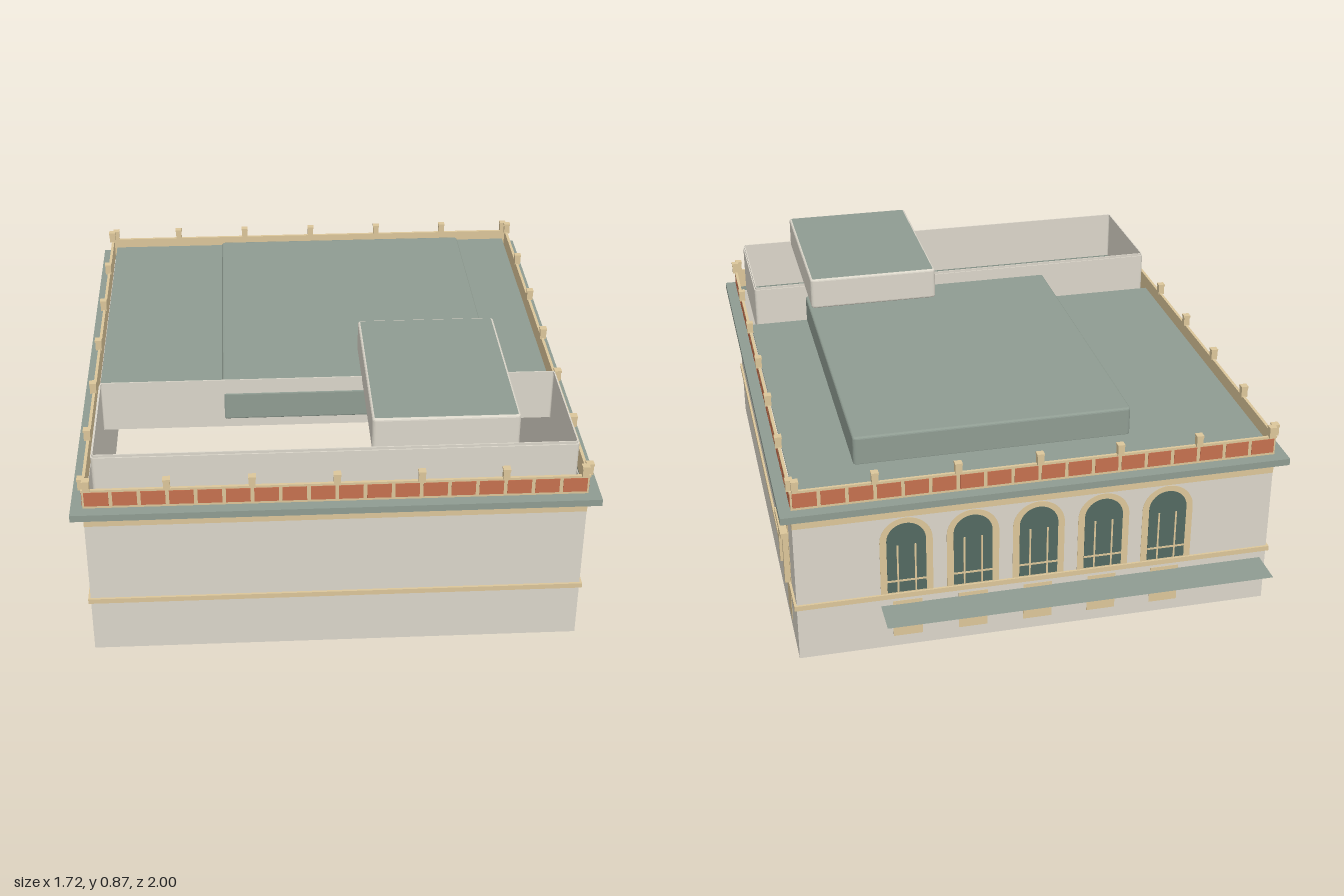
import * as THREE from 'three';

const mat = (name, color) => Object.assign(new THREE.MeshStandardMaterial({ color }), { name });

export function createModel() {
  const stone = mat('stone', 0xdbd6ca);
  const trim = mat('tan trim', 0xdcc69a);
  const brick = mat('brick', 0xc5714f);
  const roofing = mat('green roofing', 0x8f9c92);
  roofing.side = THREE.DoubleSide;
  const glass = mat('dark glass', 0x536a61);

  const model = new THREE.Group();
  model.name = 'building';

  // Outer faces of the walls
  const X = 0.82, ZB = -0.87, ZF = 0.96, ZM = (ZB + ZF) / 2;

  function add(parent, name, geometry, material, x = 0, y = 0, z = 0) {
    const m = new THREE.Mesh(geometry, material);
    m.name = name;
    m.position.set(x, y, z);
    parent.add(m);
    return m;
  }

  // Box given by its limits
  function block(parent, name, material, x0, x1, y0, y1, z0, z1) {
    return add(parent, name, new THREE.BoxGeometry(x1 - x0, y1 - y0, z1 - z0), material,
      (x0 + x1) / 2, (y0 + y1) / 2, (z0 + z1) / 2);
  }

  // Plan rectangle, optionally with rounded corners (plan y is -z)
  function plan(T, x0, x1, z0, z1, r) {
    const p = new T();
    if (r === 0) {
      p.moveTo(x0, -z1).lineTo(x1, -z1).lineTo(x1, -z0).lineTo(x0, -z0).closePath();
      return p;
    }
    p.absarc(x1 - r, -z1 + r, r, -Math.PI / 2, 0);
    p.absarc(x1 - r, -z0 - r, r, 0, Math.PI / 2);
    p.absarc(x0 + r, -z0 - r, r, Math.PI / 2, Math.PI);
    p.absarc(x0 + r, -z1 + r, r, Math.PI, Math.PI * 1.5);
    p.closePath();
    return p;
  }

  // Rectangular ring of thickness t, open at top and bottom
  function ring(name, material, x0, x1, z0, z1, t, y0, y1, r = 0) {
    const s = plan(THREE.Shape, x0, x1, z0, z1, r);
    s.holes.push(plan(THREE.Path, x0 + t, x1 - t, z0 + t, z1 - t, r * 0.5));
    const g = new THREE.ExtrudeGeometry(s, { depth: y1 - y0, bevelEnabled: false, curveSegments: 4 });
    g.rotateX(-Math.PI / 2);
    return add(model, name, g, material, 0, y0, 0);
  }

  // Solid slab with softened edges
  function slab(name, materials, x0, x1, z0, z1, y0, y1) {
    const b = 0.008;
    const s = plan(THREE.Shape, x0 + b, x1 - b, z0 + b, z1 - b, 0.006);
    const g = new THREE.ExtrudeGeometry(s, {
      depth: y1 - y0 - 2 * b, bevelThickness: b, bevelSize: b, bevelSegments: 3, curveSegments: 4,
    });
    g.rotateX(-Math.PI / 2);
    return add(model, name, g, materials, 0, y0 + b, 0);
  }

  // Upright panel with a round head, facing +z
  function arch(parent, name, material, w, y0, y1, depth) {
    const r = w / 2, s = new THREE.Shape();
    s.moveTo(-r, y0).lineTo(r, y0).lineTo(r, y1 - r);
    s.absarc(0, y1 - r, r, 0, Math.PI);
    s.closePath();
    return add(parent, name, new THREE.ExtrudeGeometry(s, { depth, bevelEnabled: false, curveSegments: 12 }), material);
  }

  // Walls, bands and cornice
  ring('walls', stone, -X, X, ZB, ZF, 0.005, 0, 0.555);
  ring('frieze', trim, -X - 0.001, X + 0.001, ZB - 0.001, ZF + 0.001, 0.003, 0.505, 0.555);
  ring('stringCourse', trim, -X - 0.008, X + 0.008, ZB - 0.008, ZF + 0.008, 0.01, 0.195, 0.213);
  ring('cornice', roofing, -0.86, 0.86, -0.912, 1.0, 0.042, 0.553, 0.577);

  // Roof surfaces
  block(model, 'roof', roofing, -0.804, 0.804, 0.604, 0.612, ZB + 0.004, 0.485);
  slab('raisedRoof', roofing, -0.367, 0.587, -0.685, 0.493, 0.606, 0.712);
  ring('frontScreenWall', stone, -0.785, 0.782, 0.485, 0.94, 0.006, 0.577, 0.755, 0.012);
  ring('frontScreenCoping', stone, -0.781, 0.778, 0.489, 0.936, 0.004, 0.755, 0.764, 0.01);
  slab('penthouse', [roofing, stone], 0.112, 0.588, 0.279, 0.932, 0.75, 0.866);

  // Parapet with brick panels and pedestals
  ring('parapet', trim, -X, X, ZB, ZF, 0.007, 0.575, 0.647);
  ring('parapetRail', trim, -X - 0.003, X + 0.003, ZB - 0.003, ZF + 0.003, 0.01, 0.64, 0.648);

  function parapetSide(name, length, panels, perBay, x, z, angle) {
    const side = new THREE.Group();
    side.name = name;
    side.position.set(x, 0, z);
    side.rotation.y = angle;
    model.add(side);
    const step = length / panels;
    for (let i = 0; i < panels; i++) {
      const c = -length / 2 + step * (i + 0.5);
      block(side, 'brickPanel', brick, c - step / 2 + 0.006, c + step / 2 - 0.006, 0.586, 0.638, -0.002, 0.002);
    }
    // End pedestals sit just inside the corners
    const limit = length / 2 - 0.016;
    for (let i = 0; i <= panels; i += perBay) {
      const c = THREE.MathUtils.clamp(-length / 2 + step * i, -limit, limit);
      block(side, 'pedestal', trim, c - 0.011, c + 0.011, 0.645, 0.679, -0.011, 0.011);
      block(side, 'pedestalCap', trim, c - 0.0125, c + 0.0125, 0.679, 0.686, -0.0125, 0.0125);
    }
  }
  parapetSide('frontParapet', 2 * X, 18, 3, 0, ZF, 0);
  parapetSide('backParapet', 2 * X, 18, 3, 0, ZB, Math.PI);
  parapetSide('leftParapet', ZF - ZB, 24, 4, X, ZM, Math.PI / 2);
  parapetSide('rightParapet', ZF - ZB, 24, 4, -X, ZM, -Math.PI / 2);

  // Side windows with columns and entablature
  for (const sx of [-1, 1]) {
    const w = new THREE.Group();
    w.name = sx > 0 ? 'leftWindow' : 'rightWindow';
    w.position.set(sx * X, 0, -0.65);
    w.rotation.y = sx * Math.PI / 2;
    model.add(w);
    arch(w, 'windowSurround', trim, 0.176, 0.213, 0.5, 0.0015);
    block(w, 'windowPane', glass, -0.031, 0.031, 0.25, 0.382, 0, 0.003);
    arch(w, 'lunette', glass, 0.048, 0.426, 0.462, 0.003);
    for (const s of [-1, 1]) {
      block(w, 'column', trim, s * 0.068 - 0.011, s * 0.068 + 0.011, 0.213, 0.39, 0, 0.02);
    }
    block(w, 'entablature', trim, -0.088, 0.088, 0.39, 0.412, 0, 0.027);
    block(w, 'basePanel', trim, -0.05, 0.05, 0.04, 0.18, 0, 0.0015);
  }

  // Row of arched windows at the back
  for (let i = -2; i <= 2; i++) {
    const w = new THREE.Group();
    w.name = 'archedWindow';
    w.position.set(i * 0.225, 0, ZB);
    w.rotation.y = Math.PI;
    model.add(w);
    arch(w, 'windowSurround', trim, 0.178, 0.213, 0.502, 0.0015);
    arch(w, 'windowPane', glass, 0.132, 0.217, 0.482, 0.003);
    block(w, 'transom', trim, -0.066, 0.066, 0.258, 0.265, 0.002, 0.0045);
    for (const s of [-1, 1]) {
      block(w, 'mullion', trim, s * 0.03 - 0.003, s * 0.03 + 0.003, 0.217, 0.4, 0.002, 0.0045);
    }
    block(w, 'basePanel', trim, -0.05, 0.05, 0.04, 0.18, 0, 0.0015);
  }

  // Thin canopy over the back entrance
  const canopy = new THREE.PlaneGeometry(1.34, 1 + ZB).rotateX(-Math.PI / 2);
  add(model, 'canopy', canopy, roofing, -0.13, 0.166, (ZB - 1) / 2);

  return model;
}
